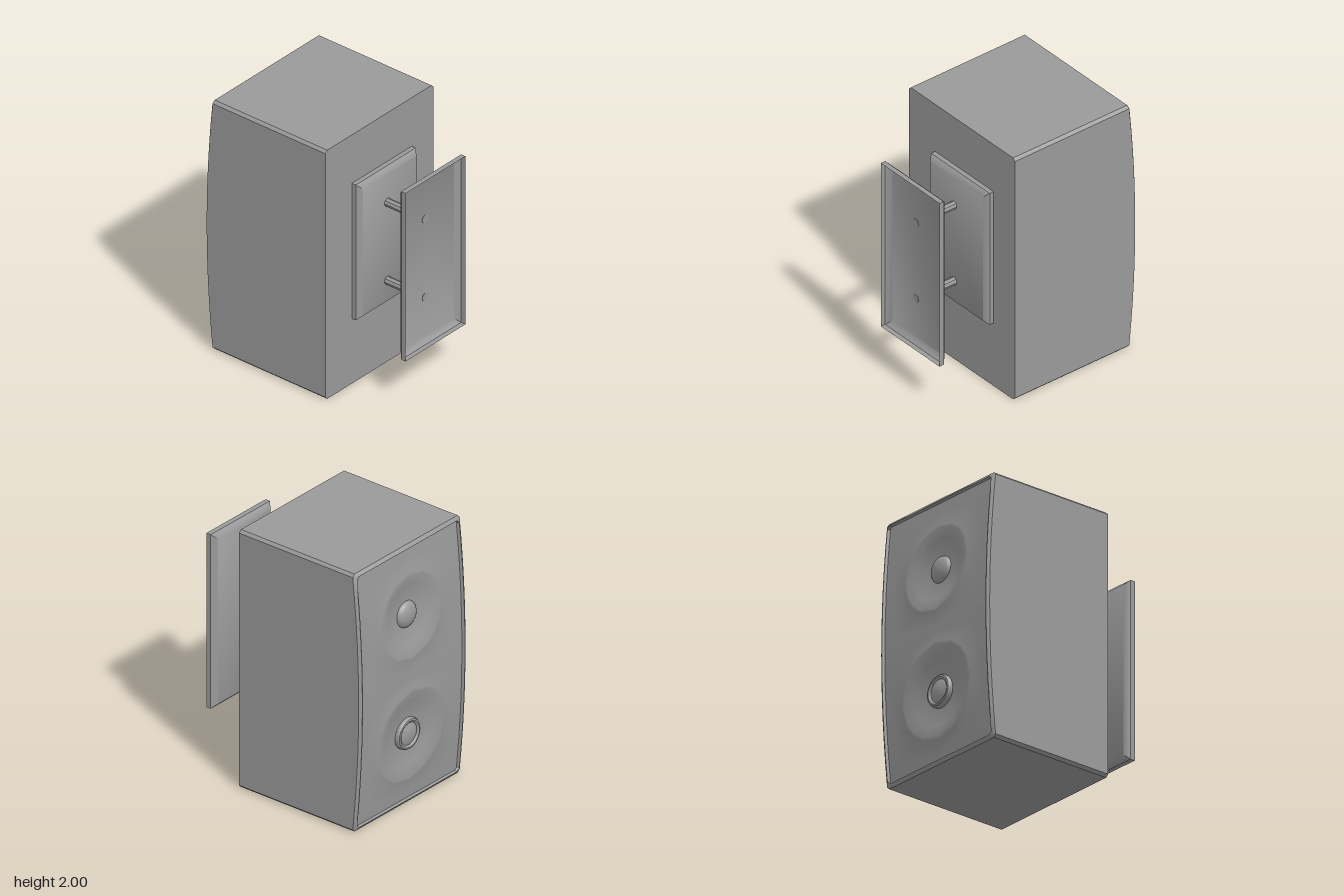
import * as THREE from 'three';
import { toCreasedNormals } from 'three/addons/utils/BufferGeometryUtils.js';

const material = new THREE.MeshStandardMaterial({ color: 0x9a9a9a, side: THREE.DoubleSide });

// Bowed outline of the speaker's driver side.
const bow = (y) => -0.725 - 0.055 * (1 - (y - 1) ** 2);

// Skins equal-length rings, each counter-clockwise seen from +z and running towards -z.
function loft(rings, capStart, capEnd, crease = 0.5) {
  const n = rings[0].length;
  const pos = rings.flat(2);
  const index = [];
  for (let r = 0; r < rings.length - 1; r++) {
    for (let i = 0; i < n; i++) {
      const j = (i + 1) % n;
      const a = r * n + i, b = r * n + j;
      index.push(a, a + n, b, b, a + n, b + n);
    }
  }
  const cap = (r, flip) => {
    const c = pos.length / 3;
    for (let k = 0; k < 3; k++) pos.push(rings[r].reduce((s, p) => s + p[k], 0) / n);
    for (let i = 0; i < n; i++) {
      const a = r * n + i, b = r * n + (i + 1) % n;
      index.push(c, flip ? b : a, flip ? a : b);
    }
  };
  if (capStart) cap(0, false);
  if (capEnd) cap(rings.length - 1, true);
  const geo = new THREE.BufferGeometry();
  geo.setAttribute('position', new THREE.Float32BufferAttribute(pos, 3));
  geo.setIndex(index);
  return toCreasedNormals(geo, crease);
}

function add(parent, name, geometry) {
  const mesh = new THREE.Mesh(geometry, material);
  mesh.name = name;
  parent.add(mesh);
  return mesh;
}

// Perimeter of a rectangle, each side cut into equal steps.
function rectangle(x0, x1, y0, y1, steps) {
  const corners = [[x1, y0], [x1, y1], [x0, y1], [x0, y0]];
  return corners.flatMap(([x, y], i) => {
    const [u, v] = corners[(i + 1) % 4];
    return Array.from({ length: steps }, (_, s) => [x + (u - x) * s / steps, y + (v - y) * s / steps]);
  });
}

// Cabinet outline with chamfered corners and stepped sides.
function cabinetRing(inset, zAt) {
  const w = 0.572 - inset, c = 0.02, lo = inset, hi = 2 - inset, steps = 12;
  const ring = [];
  for (const s of [1, -1]) {
    for (let i = 0; i <= steps; i++) {
      const t = s > 0 ? i / steps : 1 - i / steps;
      ring.push([s * w, lo + c + (hi - lo - 2 * c) * t]);
    }
    ring.push([s * (w - c), s > 0 ? hi : lo], [-s * (w - c), s > 0 ? hi : lo]);
  }
  return ring.map(([x, y]) => [x, y, zAt(y)]);
}

// Half of the baffle, blending from its edge into a low lip and a shallow cone.
function bafflePanel(y0, y1, cy, radius, capRadius) {
  const edge = rectangle(-0.536, 0.536, y0, y1, 4);
  const ring = (depth, r, mix = 0) => edge.map(([x, y]) => {
    const len = Math.hypot(x, y - cy);
    const px = THREE.MathUtils.lerp(x / len * r, x, mix);
    const py = THREE.MathUtils.lerp(cy + (y - cy) / len * r, y, mix);
    return [px, py, bow(py) + depth];
  });
  return loft([
    ring(0.018, radius, 1),
    ring(0.018, radius + 0.06, 0.5),
    ring(0.017, radius + 0.06),
    ring(0.01, radius + 0.02),
    ring(0.008, radius),
    ring(0.036, radius * 0.75),
    ring(0.055, capRadius + 0.03),
    ring(0.06, capRadius * 0.8),
  ], false, true, 0.6);
}

// Open bevelled plate: a straight rim, and a face that shades softly into its bevel.
function addPlate(parent, name, y0, y1, rim, bevel, facesFront) {
  const group = new THREE.Group();
  group.name = name;
  parent.add(group);
  const rings = (levels) => levels.map(([z, d]) =>
    rectangle(-0.29 + d, 0.343 - d, y0 + d, y1 - d, 1).map(([x, y]) => [x, y, z]));
  add(group, 'plateRim', loft(rings(rim), false, false, 0.1));
  add(group, 'plateFace', loft(rings(bevel), facesFront, !facesFront, 0.9));
}

// Turned part facing -z.
function turned(profile) {
  const points = profile.map(([r, h]) => new THREE.Vector2(r, h));
  return toCreasedNormals(new THREE.LatheGeometry(points, 24).rotateX(-Math.PI / 2), 0.6);
}

export function createModel() {
  const model = new THREE.Group();
  model.name = 'wallSpeaker';

  // Cabinet shell with a bowed, bevelled rim
  add(model, 'cabinet', loft([
    cabinetRing(0, () => 0.3),
    cabinetRing(0, (y) => bow(y) + 0.016),
    cabinetRing(0.02, bow),
    cabinetRing(0.026, bow),
    cabinetRing(0.037, (y) => bow(y) + 0.04),
  ], true, false));

  // Baffle halves with their drivers
  const upper = { y: 1.46, r: 0.31, cap: 0.1 };
  const lower = { y: 0.54, r: 0.342, cap: 0.12 };
  add(model, 'upperBaffle', bafflePanel(1, 1.966, upper.y, upper.r, upper.cap));
  add(model, 'lowerBaffle', bafflePanel(0.034, 1, lower.y, lower.r, lower.cap));

  // Upper dome and lower ringed dust cap
  const dome = Array.from({ length: 9 }, (_, i) => {
    const a = i / 8 * Math.PI / 2;
    return [upper.cap * Math.cos(a), 0.05 * Math.sin(a)];
  });
  add(model, 'upperDome', turned(dome)).position.set(0, upper.y, bow(upper.y) + 0.062);
  add(model, 'lowerDustCap', turned([
    [0.12, 0], [0.12, 0.025], [0.112, 0.038], [0.1, 0.041], [0.088, 0.034], [0.085, 0.028],
    [0.06, 0.038], [0.03, 0.044], [0, 0.046],
  ])).position.set(0, lower.y, bow(lower.y) + 0.062);

  // Mounting bracket: two bevelled plates joined by rods
  const bracket = new THREE.Group();
  bracket.name = 'mountingBracket';
  model.add(bracket);
  addPlate(bracket, 'cabinetPlate', 0.522, 1.61, [[0.335, 0], [0.3, 0]], [[0.37, 0.033], [0.335, 0]], true);
  addPlate(bracket, 'wallPlate', 0.368, 1.72, [[0.78, 0], [0.742, 0]], [[0.742, 0], [0.707, 0.035]], false);
  for (const y of [0.722, 1.35]) {
    const rod = new THREE.CylinderGeometry(0.031, 0.031, 0.35, 8).rotateX(Math.PI / 2);
    add(bracket, 'rod', toCreasedNormals(rod, 0.1)).position.set(0, y, 0.535);
  }
  return model;
}
